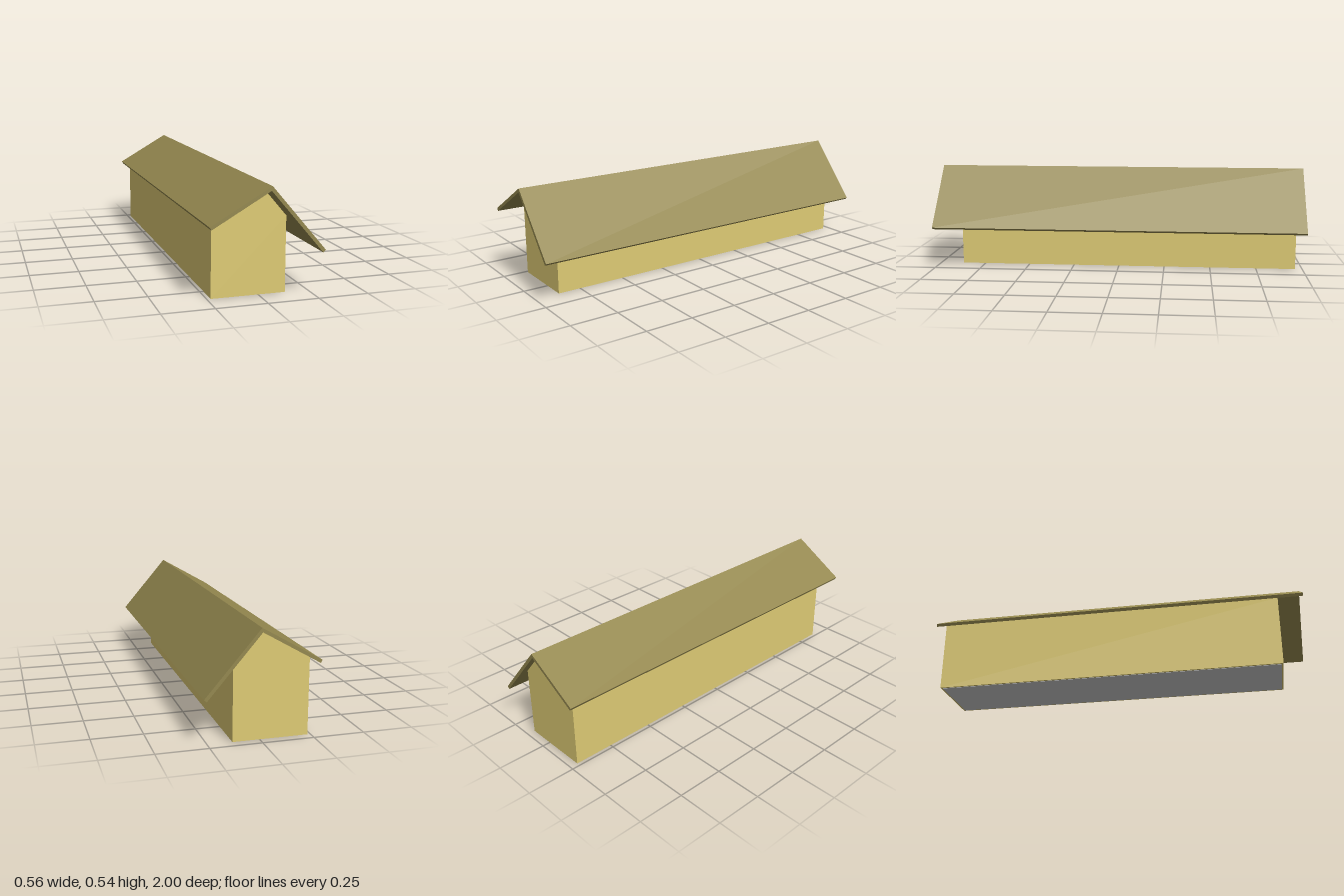
import * as THREE from 'three';

// Extrudes a cross-section outline (x, y) from zBack to zFront
function prism(name, points, zBack, zFront, color) {
  const shape = new THREE.Shape(points.map(([x, y]) => new THREE.Vector2(x, y)));
  const geometry = new THREE.ExtrudeGeometry(shape, { depth: zFront - zBack, bevelEnabled: false });
  geometry.translate(0, 0, zBack);
  const mesh = new THREE.Mesh(geometry, new THREE.MeshStandardMaterial({ color, flatShading: true }));
  mesh.name = name;
  return mesh;
}

export function createModel() {
  const group = new THREE.Group();
  group.name = 'longHouse';
  const roofColor = 0x94884f;

  // Walls with gabled ends, closed under the roof
  group.add(prism('walls', [
    [-0.233, 0.002], [0.132, 0.002], [0.132, 0.371], [0.008, 0.516], [-0.233, 0.377],
  ], -0.96, 0.872, 0xdecb74));

  // Two roof slabs meeting in a mitre at the ridge; the left one is longer and steeper
  group.add(prism('roofRight', [
    [-0.270, 0.356], [0.008, 0.516], [0.012, 0.537], [-0.278, 0.370],
  ], -1, 1, roofColor));
  group.add(prism('roofLeft', [
    [0.008, 0.516], [0.264, 0.217], [0.277, 0.228], [0.012, 0.537],
  ], -1, 1, roofColor));

  // Floor slab, slightly inset from the walls
  group.add(prism('floor', [
    [-0.223, 0], [0.122, 0], [0.122, 0.01], [-0.223, 0.01],
  ], -0.95, 0.862, 0xcccccc));

  return group;
}
